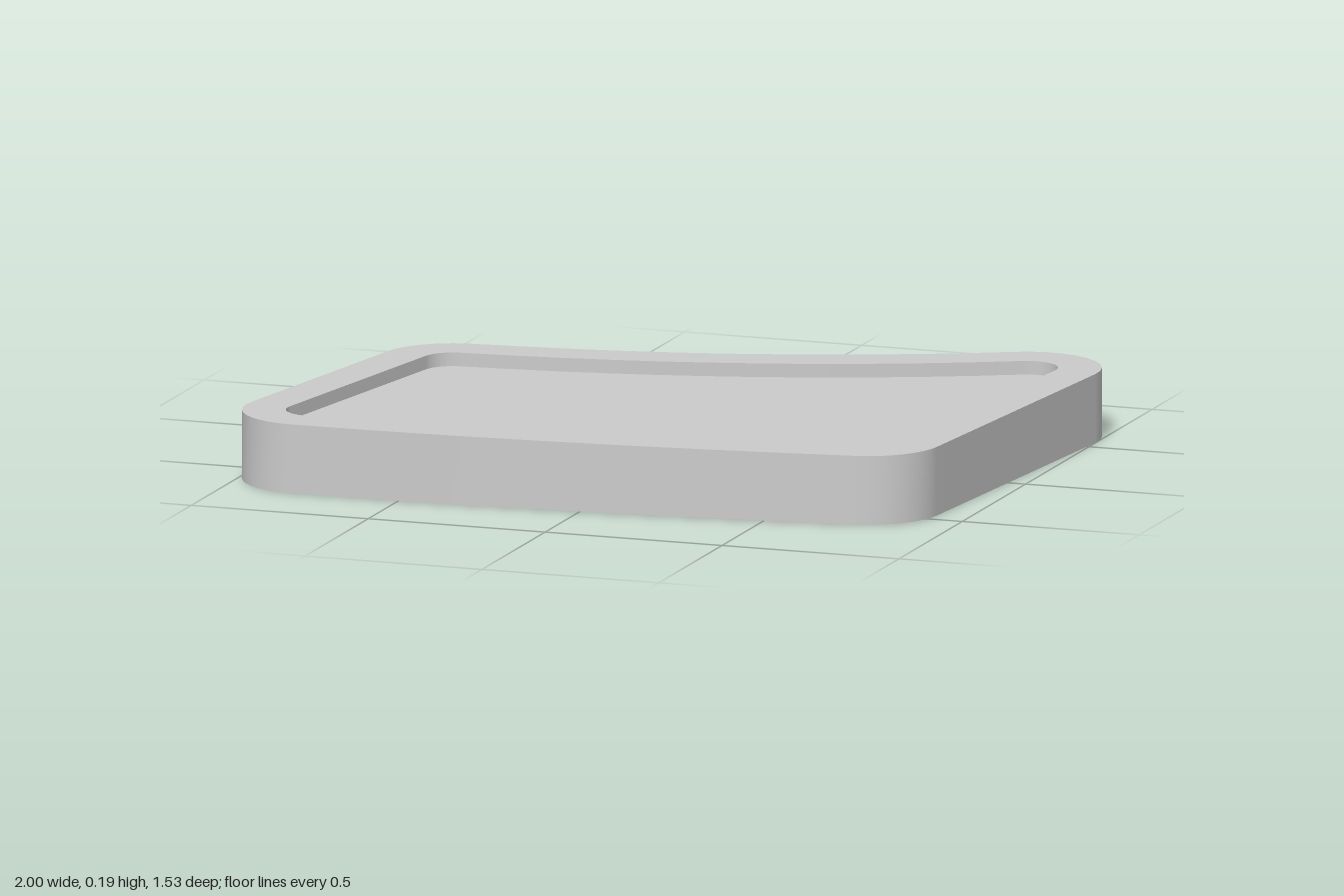
import * as THREE from 'three';

const HEIGHT = 0.187, FLOOR_Y = 0.15;
const OUTER = 0.2, INNER = 0.083; // corner radii of the two walls

// Skeleton of the outline in (x, z): four edges, two of them bowed
const V = (x, z) => new THREE.Vector2(x, z);
const backRight = V(-0.674, -0.155), backLeft = V(0.8, -0.57);
const frontLeft = V(0.712, 0.435), frontRight = V(-0.8, 0.565);
const edges = [
  new THREE.QuadraticBezierCurve(backRight, V(0.14, -0.215), backLeft),
  new THREE.LineCurve(backLeft, frontLeft),
  new THREE.QuadraticBezierCurve(frontLeft, V(-0.1, 0.565), frontRight),
  new THREE.LineCurve(frontRight, backRight),
];

// Outline at distance r from the skeleton, with round corners
function outline(r) {
  const points = [];
  const angleAt = (edge, t) => {
    const d = edge.getTangent(t);
    return Math.atan2(-d.x, d.y);
  };
  const add = (p, a) => points.push(V(p.x + r * Math.cos(a), p.y + r * Math.sin(a)));
  edges.forEach((edge, e) => {
    const steps = edge.isLineCurve ? 1 : 12;
    for (let i = 0; i <= steps; i++) add(edge.getPoint(i / steps), angleAt(edge, i / steps));
    const from = angleAt(edge, 1);
    let turn = angleAt(edges[(e + 1) % 4], 0) - from;
    if (turn < 0) turn += Math.PI * 2;
    for (let i = 1; i < 10; i++) add(edge.getPoint(1), from + (turn * i) / 10);
  });
  return points;
}

// Closed strip between two outlines at given heights
function band(r0, y0, r1, y1) {
  const a = outline(r0), b = outline(r1), n = a.length;
  const positions = [], index = [];
  for (let i = 0; i < n; i++) {
    positions.push(a[i].x, y0, a[i].y, b[i].x, y1, b[i].y);
    const p = 2 * i, q = 2 * ((i + 1) % n);
    index.push(p, p + 1, q, q, p + 1, q + 1);
  }
  const geometry = new THREE.BufferGeometry();
  geometry.setAttribute('position', new THREE.Float32BufferAttribute(positions, 3));
  geometry.setIndex(index);
  geometry.computeVertexNormals();
  return geometry;
}

export function createModel() {
  const group = new THREE.Group();
  group.name = 'tray';
  const material = new THREE.MeshStandardMaterial({ color: 0xcccccc, side: THREE.DoubleSide });
  const add = (name, geometry) => {
    const mesh = new THREE.Mesh(geometry, material);
    mesh.name = name;
    group.add(mesh);
  };

  // Hollow border, open underneath
  add('outerWall', band(OUTER, 0, OUTER, HEIGHT));
  add('rim', band(OUTER, HEIGHT, INNER, HEIGHT));
  add('innerWall', band(INNER, HEIGHT, INNER, 0));

  // Thin panel set just below the rim
  const shape = new THREE.Shape(outline(INNER).map((p) => V(p.x, -p.y)));
  add('panel', new THREE.ShapeGeometry(shape).rotateX(-Math.PI / 2).translate(0, FLOOR_Y, 0));

  return group;
}
